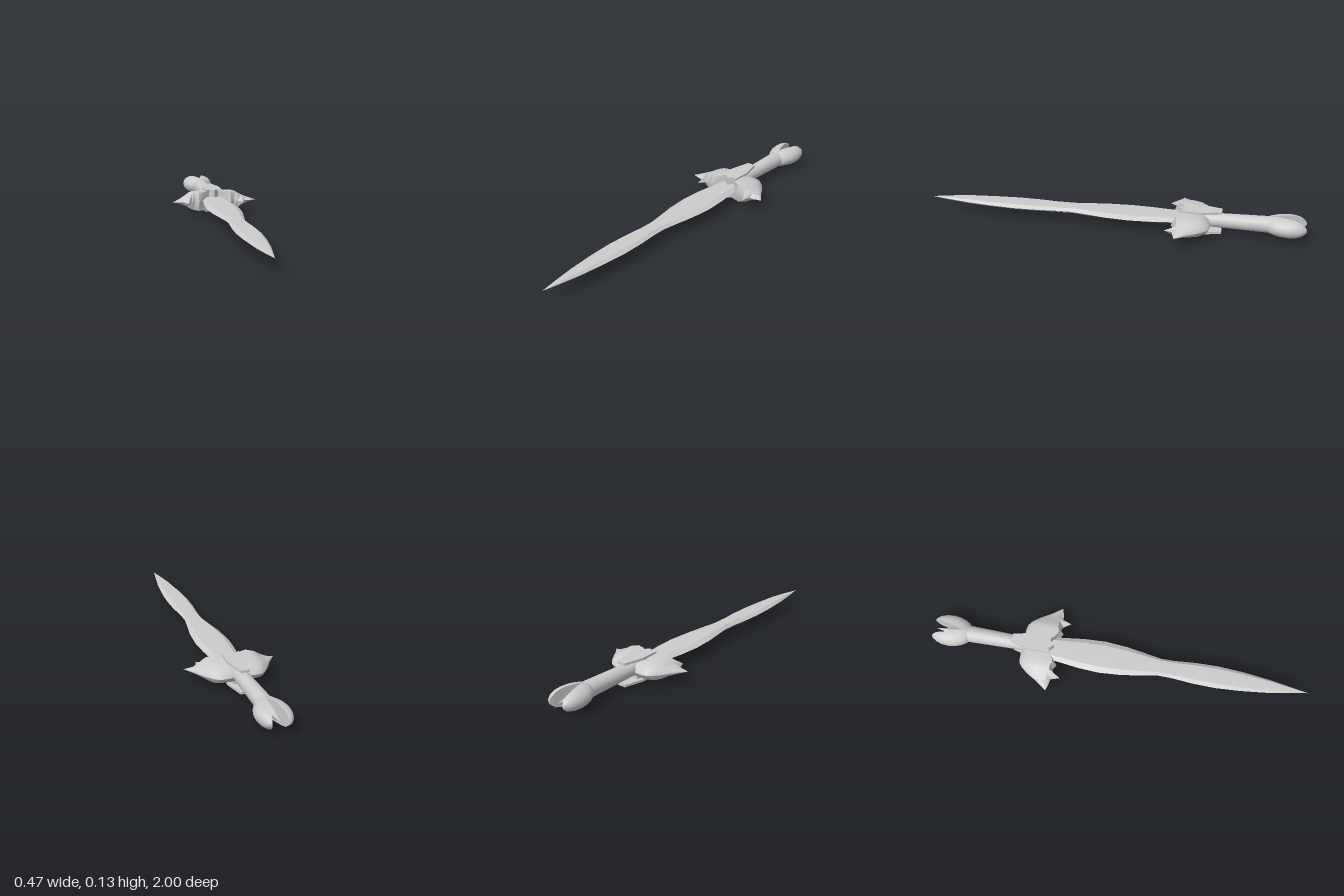
import * as THREE from 'three';
import { toCreasedNormals } from 'three/addons/utils/BufferGeometryUtils.js';

const MID = 0.066; // height of the sword's axis
const material = new THREE.MeshStandardMaterial({ color: 0xcccccc, side: THREE.DoubleSide });

function add(parent, name, geometry) {
  const mesh = new THREE.Mesh(geometry, material);
  mesh.name = name;
  parent.add(mesh);
  return mesh;
}

// Skins closed rings of [x, y, z] points, caps both ends and faces everything outward
function loft(rings, crease) {
  const tris = [];
  const n = rings[0].length;
  for (let i = 0; i < rings.length - 1; i++) {
    for (let j = 0; j < n; j++) {
      const k = (j + 1) % n;
      const a = rings[i][j], b = rings[i][k], c = rings[i + 1][k], d = rings[i + 1][j];
      tris.push([a, b, c], [a, c, d]);
    }
  }
  const last = rings[rings.length - 1];
  for (let j = 1; j < n - 1; j++) {
    tris.push([rings[0][0], rings[0][j + 1], rings[0][j]], [last[0], last[j], last[j + 1]]);
  }
  const v = (p) => new THREE.Vector3(...p);
  const volume = tris.reduce((s, [a, b, c]) => s + v(a).dot(v(b).cross(v(c))), 0);
  if (volume < 0) tris.forEach((t) => t.reverse());
  const solid = tris.filter(([a, b, c]) => v(b).sub(v(a)).cross(v(c).sub(v(a))).length() > 1e-9);
  const geometry = new THREE.BufferGeometry();
  geometry.setAttribute('position', new THREE.Float32BufferAttribute(solid.flat(2), 3));
  return toCreasedNormals(geometry, crease);
}

// Extrudes a mirrored outline of [x, z] points upward from y0 to y1
function slab(half, y0, y1) {
  const outline = [...half, ...half.filter((p) => p[0] > 0).map(([x, z]) => [-x, z]).reverse()];
  const shape = new THREE.Shape(outline.map(([x, z]) => new THREE.Vector2(x, -z)));
  const geometry = new THREE.ExtrudeGeometry(shape, { depth: y1 - y0, bevelEnabled: false });
  return geometry.rotateX(-Math.PI / 2).translate(0, y0, 0);
}

function makeBlade(parent) {
  // z, half width, half thickness
  const stations = [
    [-0.42, 0.058, 0.015], [-0.32, 0.068, 0.015], [-0.2, 0.083, 0.015], [-0.09, 0.089, 0.015],
    [0.03, 0.08, 0.015], [0.13, 0.063, 0.015], [0.22, 0.048, 0.014], [0.29, 0.049, 0.013],
    [0.4, 0.058, 0.014], [0.52, 0.061, 0.014], [0.65, 0.053, 0.013], [0.79, 0.037, 0.012],
    [0.9, 0.018, 0.007], [1, 0, 0],
  ];
  const rings = stations.map(([z, w, t]) =>
    [[1, 0], [0.68, 1], [0, 1.08], [-0.68, 1], [-1, 0], [-0.68, -1], [0, -1.08], [0.68, -1]]
      .map(([x, y]) => [x * w, MID + 0.002 + y * t, z]));
  add(parent, 'blade', loft(rings, 0.2));

  // thin lines beside the narrow waist
  for (const side of [-1, 1]) {
    add(parent, 'bladeGroove', new THREE.BoxGeometry(0.003, 0.028, 0.15))
      .position.set(side * 0.032, MID + 0.002, 0.305);
  }
}

function makeGuard(parent) {
  // x, back z, front z at top and bottom, front z at mid height, half height
  const half = [
    [0, -0.505, -0.38, -0.38, 0.05], [0.03, -0.51, -0.368, -0.368, 0.052],
    [0.06, -0.515, -0.345, -0.345, 0.052], [0.09, -0.515, -0.335, -0.315, 0.052],
    [0.11, -0.51, -0.345, -0.333, 0.049], [0.13, -0.495, -0.345, -0.325, 0.043],
    [0.155, -0.465, -0.35, -0.285, 0.028], [0.17, -0.443, -0.352, -0.332, 0.021],
    [0.195, -0.4, -0.36, -0.335, 0.012], [0.235, -0.346, -0.346, -0.346, 0],
  ];
  const mirrored = half.slice(1).reverse().map(([x, ...rest]) => [-x, ...rest]);
  const rings = [...mirrored, ...half].map(([x, back, top, mid, h]) => {
    // blunt front, domed back
    const arc = [[0, 1], [0.45, 0.97], [0.72, 0.8], [0.92, 0.45], [1, 0],
      [0.92, -0.45], [0.72, -0.8], [0.45, -0.97], [0, -1]];
    const ring = arc.map(([f, y]) => [x, MID - 0.002 + y * h, top + (back - top) * f]);
    ring.push([x, MID - 0.002, mid]);
    return ring;
  });
  add(parent, 'guard', loft(rings, 0.65));

  // pointed centre block and the flared plates above and below it
  add(parent, 'guardCentre', slab([[0, -0.345], [0.025, -0.37], [0.025, -0.48]], 0.003, 0.122));
  const outline = [[0, -0.345], [0.022, -0.37], [0.045, -0.358], [0.048, -0.46], [0.036, -0.51], [0.022, -0.568]];
  for (const side of [-1, 1]) {
    const plate = new THREE.Group();
    plate.name = side > 0 ? 'topPlate' : 'bottomPlate';
    add(plate, 'plate', slab(outline, 0.05, 0.0625));
    for (const x of [-0.02, 0.02]) {
      add(plate, 'stud', new THREE.BoxGeometry(0.01, 0.003, 0.006)).position.set(x, 0.0615, -0.45);
    }
    plate.position.y = 0.0625;
    if (side < 0) plate.rotation.z = Math.PI;
    parent.add(plate);
  }
}

function makeHandle(parent) {
  const grip = new THREE.CylinderGeometry(0.044, 0.036, 0.36, 20).rotateX(-Math.PI / 2);
  add(parent, 'grip', grip).position.set(0, MID + 0.002, -0.66);

  // spike between the two pommel claws
  const spike = new THREE.ConeGeometry(0.034, 0.16, 8).rotateX(-Math.PI / 2);
  add(parent, 'pommelSpike', spike).position.set(0, MID + 0.002, -0.905);

  // z, inner x, outer x, half height
  const stations = [
    [-0.8, 0, 0.04, 0.038], [-0.815, 0, 0.056, 0.044], [-0.84, 0.002, 0.071, 0.048],
    [-0.87, 0.012, 0.081, 0.05], [-0.905, 0.022, 0.085, 0.049], [-0.94, 0.029, 0.082, 0.045],
    [-0.97, 0.034, 0.072, 0.036], [-0.99, 0.038, 0.06, 0.02], [-1, 0.043, 0.048, 0.006],
  ];
  for (const side of [-1, 1]) {
    const rings = stations.map(([z, inner, outer, h]) =>
      Array.from({ length: 13 }, (_, i) => {
        const a = (i / 12 - 0.5) * Math.PI;
        return [side * (inner + (outer - inner) * Math.cos(a)), MID + 0.002 + h * Math.sin(a), z];
      }));
    add(parent, side > 0 ? 'leftPommelClaw' : 'rightPommelClaw', loft(rings, 0.8));
  }
}

export function createModel() {
  const sword = new THREE.Group();
  sword.name = 'sword';
  makeBlade(sword);
  makeGuard(sword);
  makeHandle(sword);
  return sword;
}
